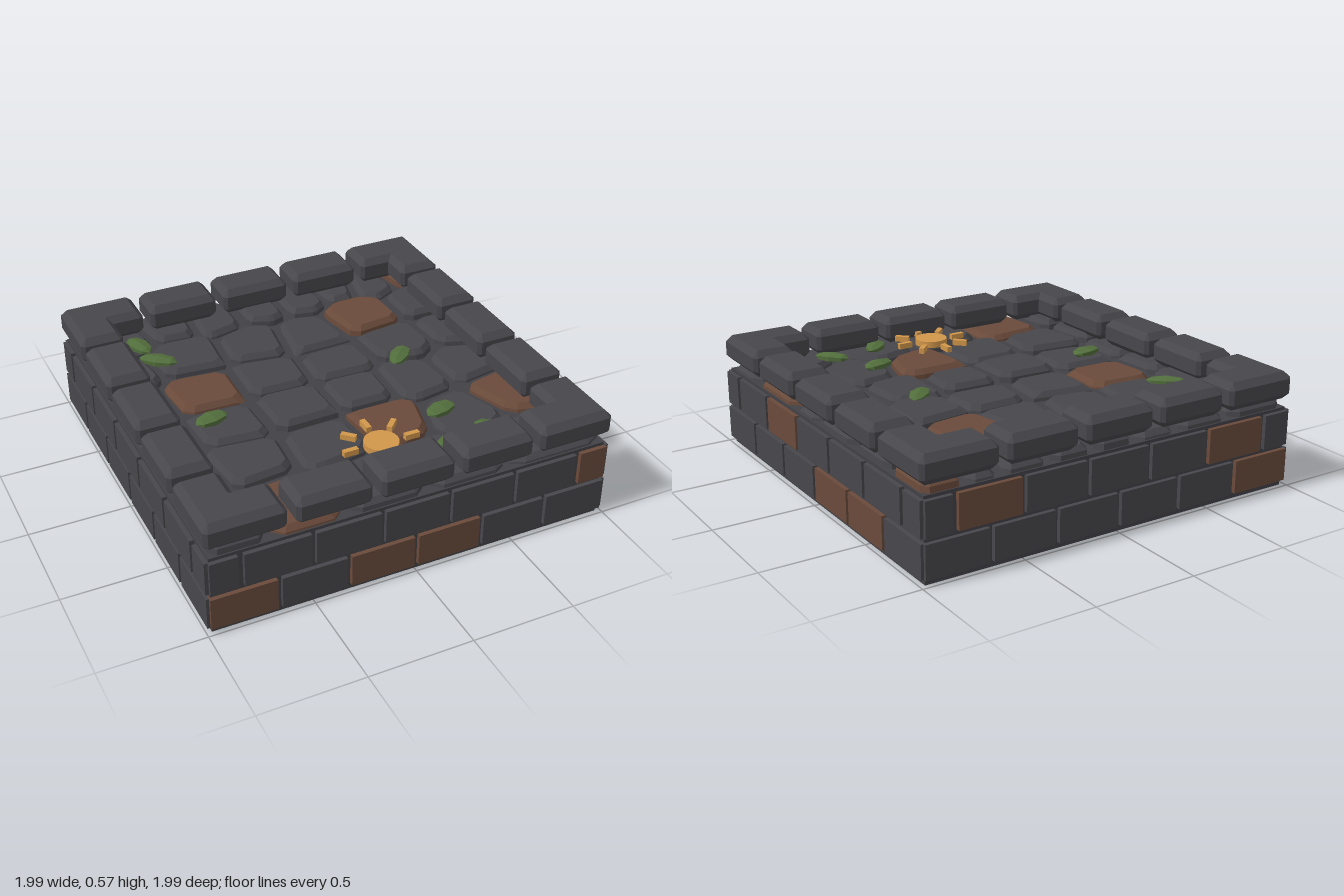
import * as THREE from 'three';
import { ConvexGeometry } from 'three/addons/geometries/ConvexGeometry.js';

const material = (name, color) => {
  const m = new THREE.MeshStandardMaterial({ color });
  m.name = name;
  return m;
};

export function createModel() {
  const model = new THREE.Group();
  model.name = 'stonePlatform';
  const stone = material('dark stone', 0x47464b);
  const mortar = material('mortar', 0x424146);
  const clay = material('brown stone', 0x694a3a);
  const moss = material('leaf green', 0x526e3c);
  const gold = material('amber', 0xd2974a);

  const add = (parent, name, geometry, mat, x = 0, y = 0, z = 0) => {
    const mesh = new THREE.Mesh(geometry, mat);
    mesh.name = name;
    mesh.position.set(x, y, z);
    parent.add(mesh);
    return mesh;
  };
  const group = (name, parent = model) => {
    const g = new THREE.Group();
    g.name = name;
    parent.add(g);
    return g;
  };

  // Solid core
  add(model, 'core', new THREE.BoxGeometry(1.95, 0.395, 1.95), mortar, 0, 0.1975, 0);

  // Two courses of bricks on each side; the lists give the brown bricks
  const lower = [], upper = [[-0.98, -0.85]];
  for (let i = 0; i < 6; i++) lower.push([-0.983 + i * 0.331, -0.673 + i * 0.331]);
  for (let i = 0; i < 5; i++) upper.push([-0.823 + i * 0.332, -0.513 + i * 0.332]);
  upper.push([0.84, 0.98]);
  const brownBricks = [
    { lower: [0, 2, 3], upper: [6] }, // front
    { lower: [3, 4], upper: [2] }, // +x side
    { lower: [5], upper: [1, 5] }, // back
    { lower: [], upper: [] }, // -x side
  ];
  brownBricks.forEach((brown, side) => {
    const wall = group('brickWall');
    wall.rotation.y = side * Math.PI / 2;
    const course = (spans, y0, y1, brownOnes) => spans.forEach(([a, b], i) =>
      add(wall, 'brick', new THREE.BoxGeometry(b - a, y1 - y0, 0.035),
        brownOnes.includes(i) ? clay : stone, (a + b) / 2, (y0 + y1) / 2, 0.979));
    course(lower, 0.03, 0.19, brown.lower);
    course(upper, 0.213, 0.38, brown.upper);
  });

  // Bevelled rim blocks: an L at each corner and three straight blocks per side
  const bevel = 0.032;
  const block = (points) => {
    const geometry = new THREE.ExtrudeGeometry(
      new THREE.Shape(points.map(([x, z]) => new THREE.Vector2(x, -z))),
      { depth: 0.135 - 2 * bevel, bevelThickness: bevel, bevelSize: bevel, bevelOffset: -bevel, bevelSegments: 1 });
    return geometry.rotateX(-Math.PI / 2).translate(0, 0.435 + bevel, 0);
  };
  const c = 0.018;
  const cornerBlock = block([[-0.995 + c, 0.995], [-0.62 - c, 0.995], [-0.62, 0.995 - c], [-0.62, 0.78 + c],
    [-0.62 - c, 0.78], [-0.78, 0.78], [-0.78, 0.62 + c], [-0.78 - c, 0.62], [-0.995 + c, 0.62],
    [-0.995, 0.62 + c], [-0.995, 0.995 - c]]);
  const straightBlock = block([[-0.178 + c, 0.995], [0.178 - c, 0.995], [0.178, 0.995 - c], [0.178, 0.78 + c],
    [0.178 - c, 0.78], [-0.178 + c, 0.78], [-0.178, 0.78 + c], [-0.178, 0.995 - c]]);
  for (let side = 0; side < 4; side++) {
    const rim = group('rimSide');
    rim.rotation.y = side * Math.PI / 2;
    add(rim, 'rimCorner', cornerBlock, stone);
    for (const x of [-0.4, 0, 0.4]) add(rim, 'rimBlock', straightBlock, stone, x);
  }

  // Floor stones: cells around these centres, brown ones first
  const brownCentres = [[-0.53, -0.18], [0.48, -0.51], [0.15, 0.43], [0.8, 0.42], [-0.53, 0.79], [0.88, -0.86]];
  const greyCentres = [
    [-0.75, -0.8], [-0.48, -0.85], [-0.22, -0.83], [0.01, -0.83], [0.24, -0.84], [0.48, -0.87], [0.68, -0.83],
    [-0.86, -0.47], [-0.5, -0.52], [-0.13, -0.49], [0.15, -0.45], [0.84, -0.52],
    [-0.89, -0.15], [-0.18, -0.17], [0.16, -0.15], [0.52, -0.18], [0.84, -0.2],
    [-0.88, 0.16], [-0.54, 0.14], [-0.19, 0.13], [0.15, 0.12], [0.43, 0.13], [0.74, 0.11],
    [-0.9, 0.47], [-0.57, 0.43], [-0.18, 0.46], [0.5, 0.52],
    [-0.87, 0.82], [-0.12, 0.8], [0.26, 0.8], [0.7, 0.82],
  ];
  const centres = [...brownCentres, ...greyCentres];

  // Keep the part of a polygon where n . p <= d
  const clip = (poly, nx, nz, d) => {
    const out = [];
    poly.forEach((p, i) => {
      const q = poly[(i + 1) % poly.length];
      const a = p[0] * nx + p[1] * nz - d, b = q[0] * nx + q[1] * nz - d;
      if (a <= 0) out.push(p);
      if (a * b < 0) {
        const t = a / (a - b);
        out.push([p[0] + (q[0] - p[0]) * t, p[1] + (q[1] - p[1]) * t]);
      }
    });
    return out;
  };
  const cell = ([x, z], gap) => {
    const e = 0.985 - gap;
    let poly = [[-e, -e], [e, -e], [e, e], [-e, e]];
    for (const [ox, oz] of centres) {
      const dx = ox - x, dz = oz - z, length = Math.hypot(dx, dz);
      if (length < 1e-6) continue;
      const nx = dx / length, nz = dz / length;
      poly = clip(poly, nx, nz, (x + ox) / 2 * nx + (z + oz) / 2 * nz - gap);
    }
    return poly;
  };
  // Trim the corners of a ring
  const trim = (poly, t) => poly.flatMap((p, i) => {
    const a = poly[(i + poly.length - 1) % poly.length], b = poly[(i + 1) % poly.length];
    return [a, b].map((q) => [p[0] + (q[0] - p[0]) * t, p[1] + (q[1] - p[1]) * t]);
  });
  const floor = group('floor');
  centres.forEach((centre, i) => {
    const top = 0.43 + 0.006 * ((i * 3) % 4);
    const ring = (gap, y) => trim(cell(centre, gap), 0.14).map(([x, z]) => new THREE.Vector3(x, y, z));
    const points = [...ring(0.016, 0.385), ...ring(0.02, top - 0.025), ...ring(0.042, top)];
    add(floor, 'floorStone', new ConvexGeometry(points), i < brownCentres.length ? clay : stone);
  });

  // Sun ornament: disc and eight rays
  const sun = group('sunOrnament');
  sun.position.set(0, 0.466, 0.635);
  add(sun, 'sunDisc', new THREE.CylinderGeometry(0.082, 0.082, 0.032, 24), gold);
  for (let i = 0; i < 8; i++) {
    const a = i * Math.PI / 4;
    const ray = add(sun, 'sunRay', new THREE.BoxGeometry(0.072, 0.028, 0.026), gold,
      Math.cos(a) * 0.155, 0, -Math.sin(a) * 0.155);
    ray.rotation.y = a;
  }

  // Scattered leaves: x, z, turn, half length
  const leafShape = new THREE.SphereGeometry(1, 6, 4).rotateZ(Math.PI / 2).toNonIndexed();
  leafShape.computeVertexNormals();
  const leaves = group('leaves');
  [[-0.69, -0.67, -1.28, 0.09], [-0.65, -0.5, -0.68, 0.1], [-0.605, 0.095, 0.24, 0.088], [0.45, -0.03, 0.77, 0.092],
    [0.395, 0.48, 0.31, 0.088], [0.535, 0.715, -0.9, 0.092], [0.265, 0.755, 0.8, 0.085]].forEach(([x, z, turn, size]) => {
    const leaf = add(leaves, 'leaf', leafShape, moss, x, 0.447, z);
    leaf.scale.set(size, 0.024, 0.052);
    leaf.rotation.y = turn;
  });

  return model;
}
